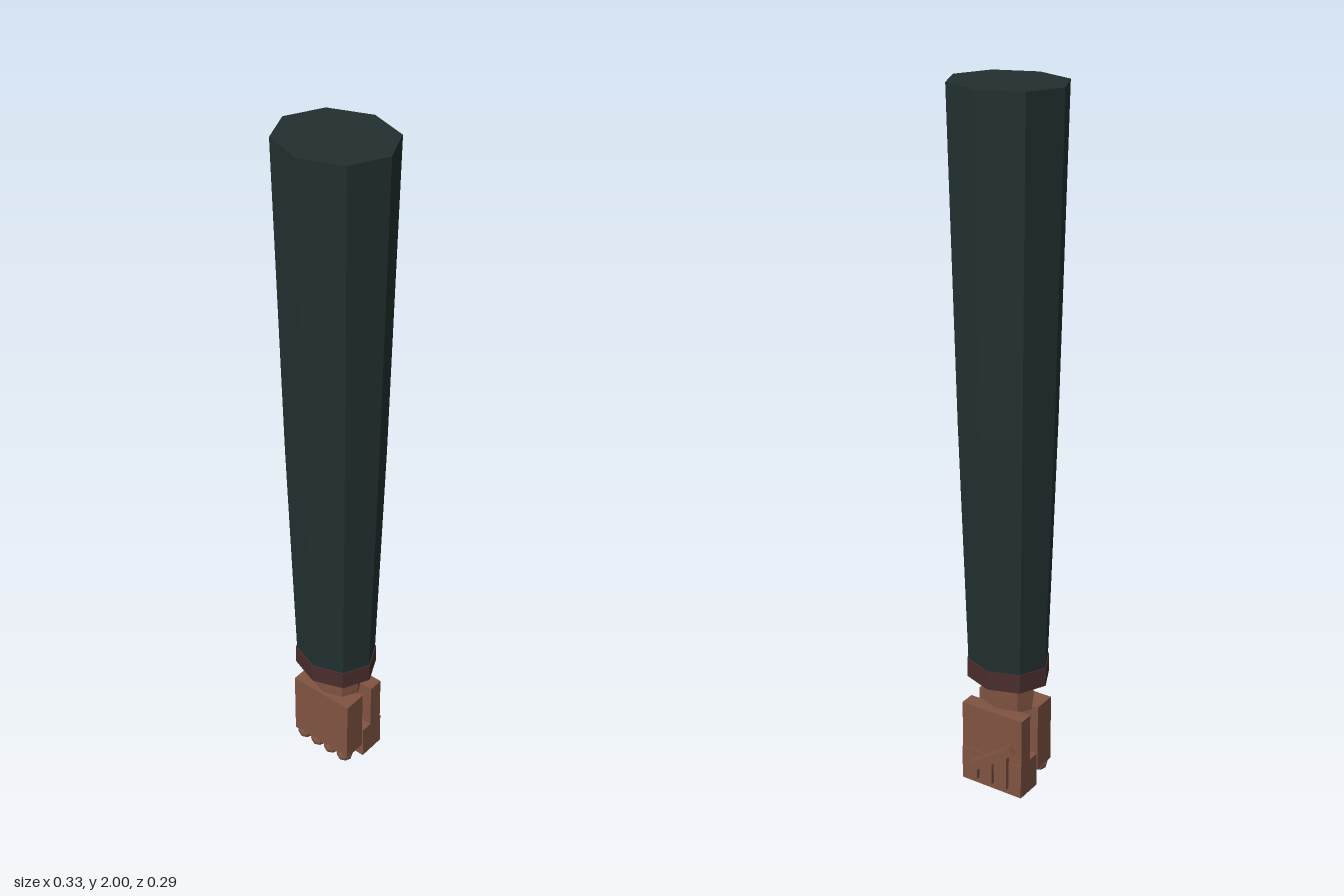
import * as THREE from 'three';

const flat = (name, color) => {
  const m = new THREE.MeshStandardMaterial({ color });
  m.flatShading = true;
  m.name = name;
  return m;
};

export function createModel() {
  const group = new THREE.Group();
  const cloth = flat('dark green cloth', 0x223030);
  const trim = flat('wine trim', 0x4a2d2d);
  const skin = flat('brown skin', 0x805442);

  const add = (name, geometry, material, x = 0, y = 0, z = 0) => {
    const mesh = new THREE.Mesh(geometry, material);
    mesh.name = name;
    mesh.position.set(x, y, z);
    group.add(mesh);
    return mesh;
  };

  // Eight-sided oval limb section: each ring is [radiusX, radiusZ, y], bottom to top
  const limb = (name, rings, material) => {
    const bottom = rings[0][2], top = rings[rings.length - 1][2];
    const geo = new THREE.CylinderGeometry(1, 1, top - bottom, 8, rings.length - 1);
    const pos = geo.attributes.position;
    const step = (top - bottom) / (rings.length - 1);
    for (let i = 0; i < pos.count; i++) {
      const k = Math.round((pos.getY(i) + (top - bottom) / 2) / step);
      const [rx, rz, y] = rings[k];
      pos.setXYZ(i, pos.getX(i) * rx, y, pos.getZ(i) * rz);
    }
    geo.computeVertexNormals();
    return add(name, geo, material);
  };

  // Box given by its limits
  const block = (name, x0, x1, y0, y1, z0, z1) =>
    add(name, new THREE.BoxGeometry(x1 - x0, y1 - y0, z1 - z0), skin,
      (x0 + x1) / 2, (y0 + y1) / 2, (z0 + z1) / 2);

  // Sleeve, cuff and wrist
  limb('sleeve', [[0.122, 0.103, 0.385], [0.144, 0.125, 1.1], [0.164, 0.145, 2]], cloth);
  limb('cuff', [[0.125, 0.107, 0.335], [0.125, 0.107, 0.392]], trim);
  limb('wrist', [[0.08, 0.06, 0.243], [0.086, 0.062, 0.34]], skin);

  // Curled hand: back of hand in front, fingers folded behind
  block('backOfHand', -0.1, 0.1, 0.05, 0.255, 0, 0.07);
  block('foldedFingers', -0.1, 0.1, 0, 0.105, -0.088, -0.005);
  block('palm', -0.1, 0.1, 0.1, 0.25, -0.085, -0.04);

  // Knuckles under the back of the hand
  for (let i = 0; i < 4; i++) {
    const x = -0.075 + i * 0.05;
    add('knuckle', new THREE.SphereGeometry(0.025, 8, 6), skin, x, 0.04, 0.05);
  }

  // Finger ridges below the thumb
  for (let i = 0; i < 3; i++) {
    const x = -0.05 + i * 0.05;
    block('fingerRidge', x - 0.008, x + 0.008, 0.02, 0.125 - i * 0.03, -0.1, -0.08);
  }

  // Thumb laid diagonally across the fingers
  const from = new THREE.Vector3(-0.075, 0.155, -0.09);
  const to = new THREE.Vector3(0.06, 0.06, -0.103);
  const mid = from.clone().add(to).multiplyScalar(0.5);
  const thumb = add('thumb', new THREE.BoxGeometry(0.028, 0.026, from.distanceTo(to)), skin);
  thumb.position.copy(mid);
  thumb.lookAt(to);

  return group;
}
